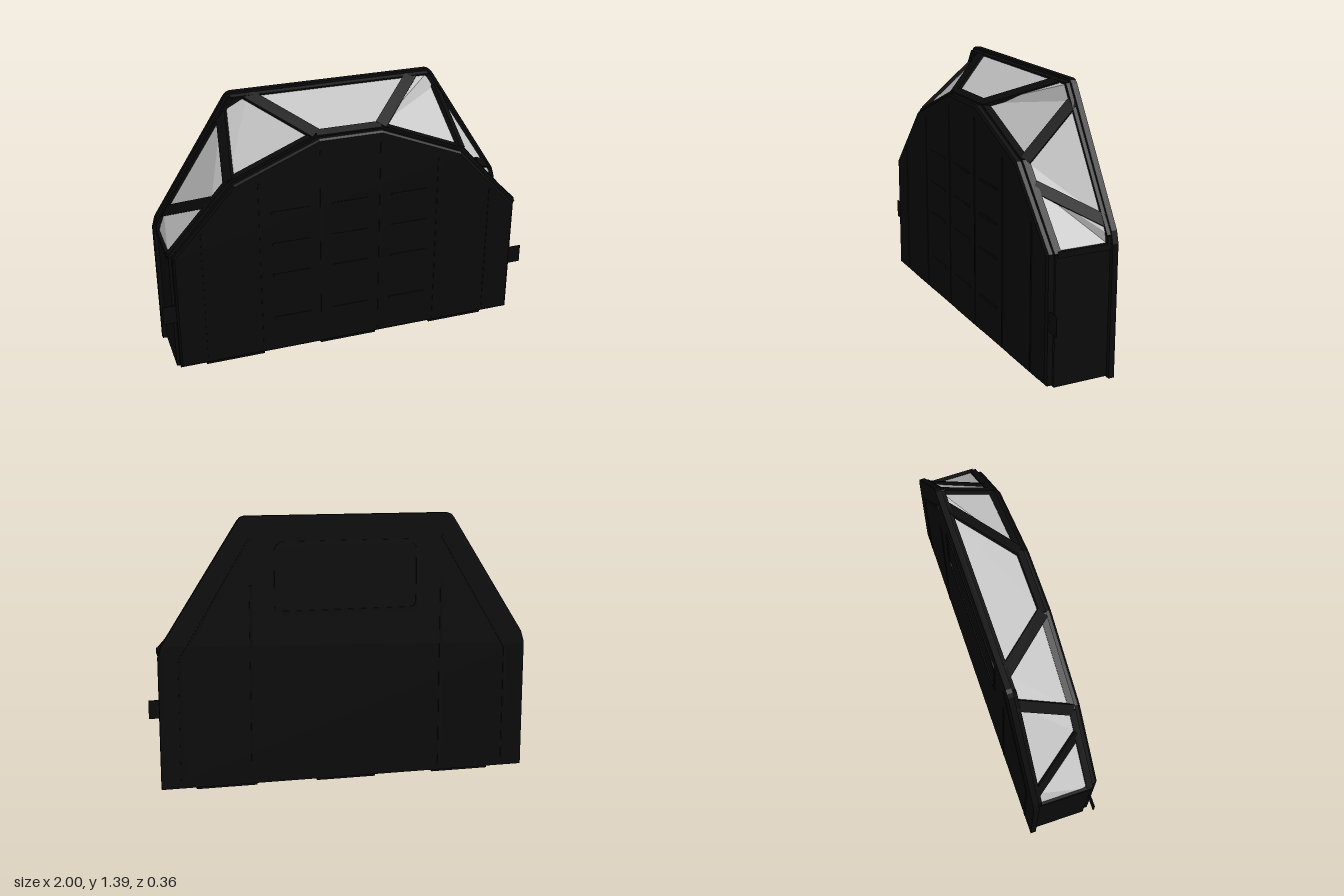
import * as THREE from 'three';

const black = new THREE.MeshStandardMaterial({ color: 0x0b0b0b });
black.name = 'black shell';
const glass = new THREE.MeshStandardMaterial({ color: 0xc4c4c4, side: THREE.DoubleSide });
glass.name = 'pale glazing';

const V = (x, y, z) => new THREE.Vector3(x, y, z);

export function createModel() {
  const root = new THREE.Group();
  root.name = 'glazedCabinet';

  const add = (name, geo, mat = black) => {
    const m = new THREE.Mesh(geo, mat);
    m.name = name;
    root.add(m);
    return m;
  };
  const box = (name, x0, x1, y0, y1, z0, z1) =>
    add(name, new THREE.BoxGeometry(x1 - x0, y1 - y0, z1 - z0))
      .position.set((x0 + x1) / 2, (y0 + y1) / 2, (z0 + z1) / 2);

  // Symmetric slab from its right-hand outline, bottom to top
  const slab = (name, half, z0, z1, bevel = 0) => {
    const pts = [...half, ...half.map(([x, y]) => [-x, y]).reverse()];
    const shape = new THREE.Shape(pts.map(([x, y]) => new THREE.Vector2(x, y)));
    const geo = new THREE.ExtrudeGeometry(shape, {
      depth: z1 - z0 - 2 * bevel, bevelEnabled: bevel > 0, bevelSegments: 1,
      bevelSize: bevel, bevelOffset: -bevel, bevelThickness: bevel,
    });
    add(name, geo).position.z = z0 + bevel;
  };

  // Flat bar between two points, its broad face turned to the hint
  const bar = (name, a, b, hint, width, thick) => {
    const dir = b.clone().sub(a);
    const len = dir.length();
    dir.normalize();
    const side = hint.clone().cross(dir).normalize();
    const up = dir.clone().cross(side);
    const m = add(name, new THREE.BoxGeometry(len, width, thick));
    m.quaternion.setFromRotationMatrix(new THREE.Matrix4().makeBasis(dir, side, up));
    m.position.copy(a).add(b).multiplyScalar(0.5);
  };

  // Thin rounded ring lying in the xy plane
  const ring = (w, h, r, t, depth) => {
    const path = (P, hw, hh, rr) => {
      P.absarc(hw - rr, hh - rr, rr, 0, Math.PI / 2);
      P.absarc(-hw + rr, hh - rr, rr, Math.PI / 2, Math.PI);
      P.absarc(-hw + rr, -hh + rr, rr, Math.PI, Math.PI * 1.5);
      P.absarc(hw - rr, -hh + rr, rr, Math.PI * 1.5, Math.PI * 2);
      P.closePath();
      return P;
    };
    const s = path(new THREE.Shape(), w / 2, h / 2, r);
    s.holes.push(path(new THREE.Path(), w / 2 - t, h / 2 - t, r - t));
    return new THREE.ExtrudeGeometry(s, { depth, bevelEnabled: false, curveSegments: 5 });
  };

  // Lower body, back plate and arched front panel
  box('lowerBody', -0.945, 0.945, 0.03, 0.685, -0.15, 0.14);
  slab('backPlate', [[0.967, 0.025], [0.967, 0.7], [0.95, 0.76], [0.56, 1.372], [0.545, 1.388], [0.525, 1.395]],
    -0.175, -0.145);
  slab('frontPanel', [[0.93, 0.035], [0.93, 0.685], [0.605, 1.04], [0.165, 1.222]], 0.12, 0.178, 0.01);

  // Key points of the glazed roof
  const zf = 0.13, zb = -0.147;
  const half = (s) => ({
    fa: V(s * 0.17, 1.232, zf), fb: V(s * 0.62, 1.045, zf), fc: V(s * 0.71, 0.945, zf), fd: V(s * 0.943, 0.685, zf),
    ba: V(s * 0.44, 1.37, zb), corner: V(s * 0.53, 1.37, zb), bb: V(s * 0.578, 1.295, zb),
    bc: V(s * 0.905, 0.79, zb), knee: V(s * 0.94, 0.735, zb), bd: V(s * 0.943, 0.685, zb),
  });
  const pane = (name, pts) => {
    const geo = new THREE.BufferGeometry().setFromPoints(
      pts.slice(2).flatMap((p, i) => [pts[0], pts[i + 1], p]));
    geo.computeVertexNormals();
    add(name, geo, glass);
  };

  const L = half(1), R = half(-1);
  pane('topPane', [R.fa, L.fa, L.ba, R.ba]);
  bar('topFrontRail', R.fa, L.fa, V(0, 1, 0.5), 0.04, 0.024);
  bar('topBackRail', R.corner, L.corner, V(0, 1, 0.5), 0.03, 0.024);

  for (const s of [1, -1]) {
    const p = s > 0 ? L : R;
    const order = (pts) => (s > 0 ? pts : pts.reverse());
    // Side panes
    pane('shoulderPane', order([p.fa, p.fb, p.bb, p.corner, p.ba]));
    pane('slopePane', order([p.fb, p.fc, p.bc, p.bb]));
    pane('lowerPane', order([p.fc, p.fd, p.bd, p.knee, p.bc]));
    // Struts and rails around the panes
    bar('upperStrut', p.fa, p.ba, V(s * 0.15, 1, 0.5), 0.06, 0.022);
    bar('middleStrut', p.fb, p.bb, V(s * 0.7, 0.7, 0.4), 0.055, 0.022);
    bar('lowerStrut', p.fc, p.bc, V(s * 0.85, 0.5, 0.3), 0.055, 0.022);
    bar('frontShoulderRail', p.fa, p.fb, V(s * 0.4, 0.9, 0.2), 0.034, 0.022);
    bar('frontSlopeRail', p.fb, p.fd, V(s * 0.75, 0.66, 0.1), 0.034, 0.022);
    bar('backSlopeRail', p.corner, p.knee, V(s * 0.85, 0.53, 0.1), 0.04, 0.022);
    bar('sillRail', p.fd, p.bd, V(s, 0, 0), 0.03, 0.02);
    bar('backPost', p.knee, p.bd, V(s, 0, 0), 0.04, 0.02);

    // Flat side tab
    const tab = [0.9 * s, 1.0 * s].sort((a, b) => a - b);
    box('sideTab', tab[0], tab[1], 0.31, 0.41, 0.158, 0.162);

    // Raised trim following the back plate's edge
    const trim = [V(s * 0.86, 0.06, -0.176), V(s * 0.86, 0.68, -0.176), V(s * 0.5, 1.28, -0.176)];
    for (let i = 0; i < 2; i++) bar('backTrim', trim[i], trim[i + 1], V(0, 0, -1), 0.018, 0.006);
    bar('backRib', V(s * 0.5, 0.06, -0.176), V(s * 0.5, 1.05, -0.176), V(0, 0, -1), 0.015, 0.006);
  }

  // Front seams and cross ribs
  for (const [x, top] of [[0.16, 1.16], [0.48, 1.03], [0.78, 0.8]])
    for (const s of [1, -1]) box('frontSeamRib', s * x - 0.006, s * x + 0.006, 0.06, top, 0.176, 0.181);
  for (const y of [0.24, 0.5, 0.68, 0.86])
    for (const x of [-0.32, 0, 0.32]) box('frontCrossRib', x - 0.1, x + 0.1, y - 0.006, y + 0.006, 0.176, 0.181);

  // Rounded frame on the back
  add('backHatchFrame', ring(0.76, 0.37, 0.05, 0.02, 0.008)).position.set(0, 1.08, -0.181);

  // Three feet with ring pads underneath
  for (const x of [-0.63, 0, 0.63]) {
    box('foot', x - 0.157, x + 0.157, 0.004, 0.04, -0.14, 0.14);
    const pad = add('footPad', ring(0.24, 0.2, 0.03, 0.02, 0.006));
    pad.rotation.x = -Math.PI / 2;
    pad.position.set(x, 0, 0);
  }
  return root;
}
